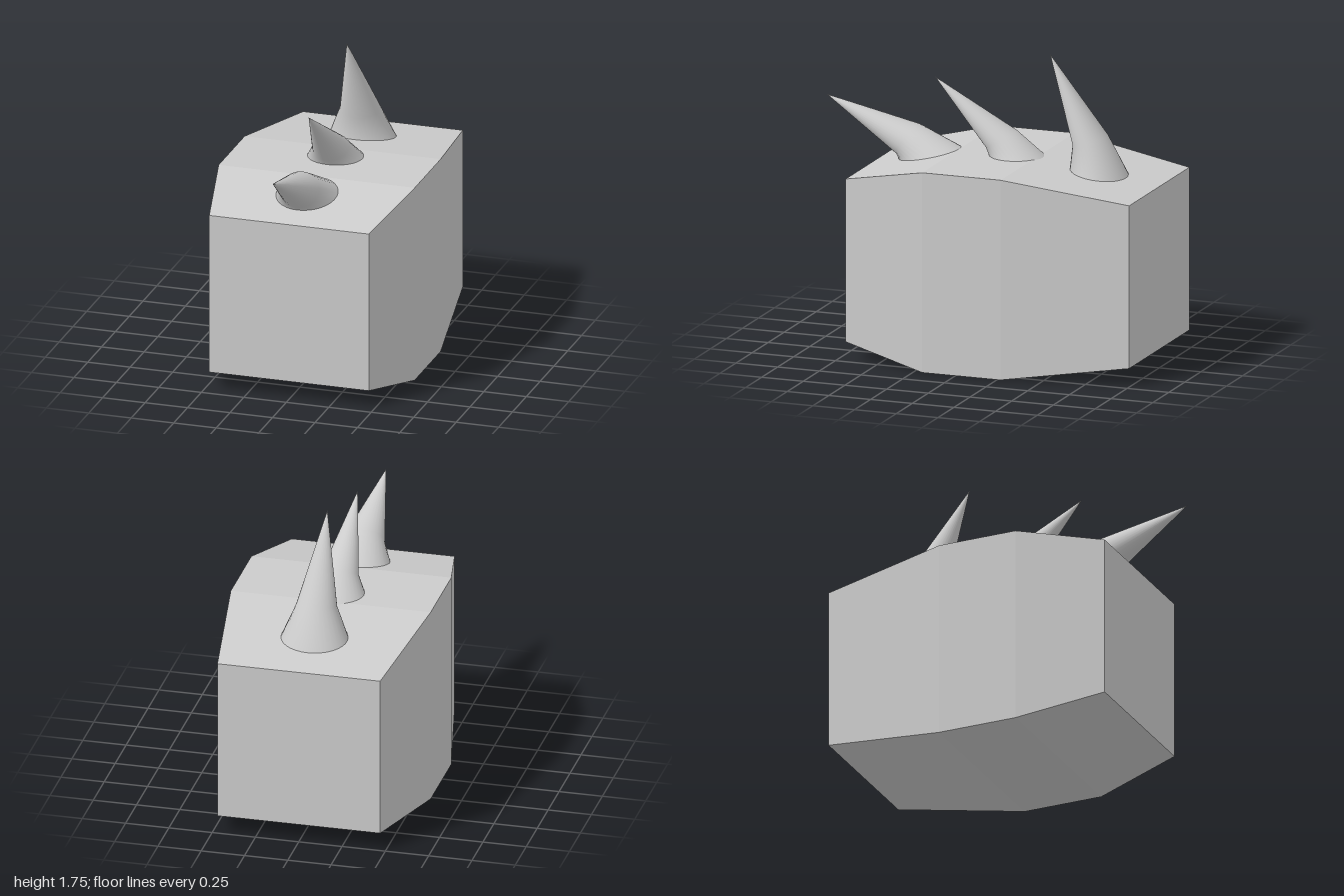
import * as THREE from 'three';

const material = new THREE.MeshStandardMaterial({ color: 0xcccccc, side: THREE.DoubleSide });

// Square block that narrows towards both ends: [z, half size] from back to front
function createBody() {
  const sections = [[-1, 0.47], [-0.27, 0.577], [0.2, 0.577], [0.7, 0.47]];
  const box = new THREE.BoxGeometry(2, 2, 3, 1, 1, 3);
  const p = box.attributes.position;
  for (let i = 0; i < p.count; i++) {
    const [z, half] = sections[Math.round(p.getZ(i) + 1.5)];
    p.setXYZ(i, p.getX(i) * half, 0.577 + p.getY(i) * half, z);
  }
  const geometry = box.toNonIndexed();
  geometry.computeVertexNormals();
  const body = new THREE.Mesh(geometry, material);
  body.name = 'body';
  return body;
}

// Bent horn through elliptical rings; each ring gives its front and back
// points as [z, y] and its half width in x
function createHorn(name, rings) {
  const sides = 32, positions = [], index = [];
  rings.forEach(({ front, back, width }, r) => {
    for (let j = 0; j <= sides; j++) {
      const a = (j / sides) * Math.PI * 2, t = (1 + Math.sin(a)) / 2;
      positions.push(
        Math.cos(a) * width,
        THREE.MathUtils.lerp(front[1], back[1], t),
        THREE.MathUtils.lerp(front[0], back[0], t)
      );
      if (r < rings.length - 1 && j < sides) {
        const k = r * (sides + 1) + j, up = k + sides + 1;
        index.push(k, k + 1, up);
        if (r < rings.length - 2) index.push(k + 1, up + 1, up);
      }
    }
  });
  const geometry = new THREE.BufferGeometry();
  geometry.setAttribute('position', new THREE.Float32BufferAttribute(positions, 3));
  geometry.setIndex(index);
  geometry.computeVertexNormals();
  // Match the normals on both sides of the seam
  const n = geometry.attributes.normal;
  for (let r = 0; r < rings.length; r++) {
    const a = r * (sides + 1), b = a + sides;
    const v = new THREE.Vector3().fromBufferAttribute(n, a)
      .add(new THREE.Vector3().fromBufferAttribute(n, b)).normalize();
    n.setXYZ(a, v.x, v.y, v.z);
    n.setXYZ(b, v.x, v.y, v.z);
  }
  // The tip ring borrows the normals of the ring below it
  const tip = (rings.length - 1) * (sides + 1);
  for (let j = 0; j <= sides; j++) {
    const k = tip + j - sides - 1;
    n.setXYZ(tip + j, n.getX(k), n.getY(k), n.getZ(k));
  }
  const horn = new THREE.Mesh(geometry, material);
  horn.name = name;
  return horn;
}

export function createModel() {
  const model = new THREE.Group();
  model.name = 'hornedBlock';
  model.add(createBody());

  // Base, bend and tip of the three horns along the ridge
  model.add(createHorn('frontHorn', [
    { front: [0.55, 1.08], back: [0.2, 1.155], width: 0.175 },
    { front: [0.565, 1.1], back: [0.45, 1.275], width: 0.115 },
    { front: [0.995, 1.4], back: [0.995, 1.4], width: 0 },
  ]));
  model.add(createHorn('middleHorn', [
    { front: [0.01, 1.155], back: [-0.3, 1.15], width: 0.16 },
    { front: [0.03, 1.185], back: [-0.14, 1.287], width: 0.105 },
    { front: [0.345, 1.56], back: [0.345, 1.56], width: 0 },
  ]));
  model.add(createHorn('backHorn', [
    { front: [-0.48, 1.125], back: [-0.8, 1.078], width: 0.19 },
    { front: [-0.49, 1.25], back: [-0.684, 1.308], width: 0.115 },
    { front: [-0.345, 1.753], back: [-0.345, 1.753], width: 0 },
  ]));
  return model;
}
